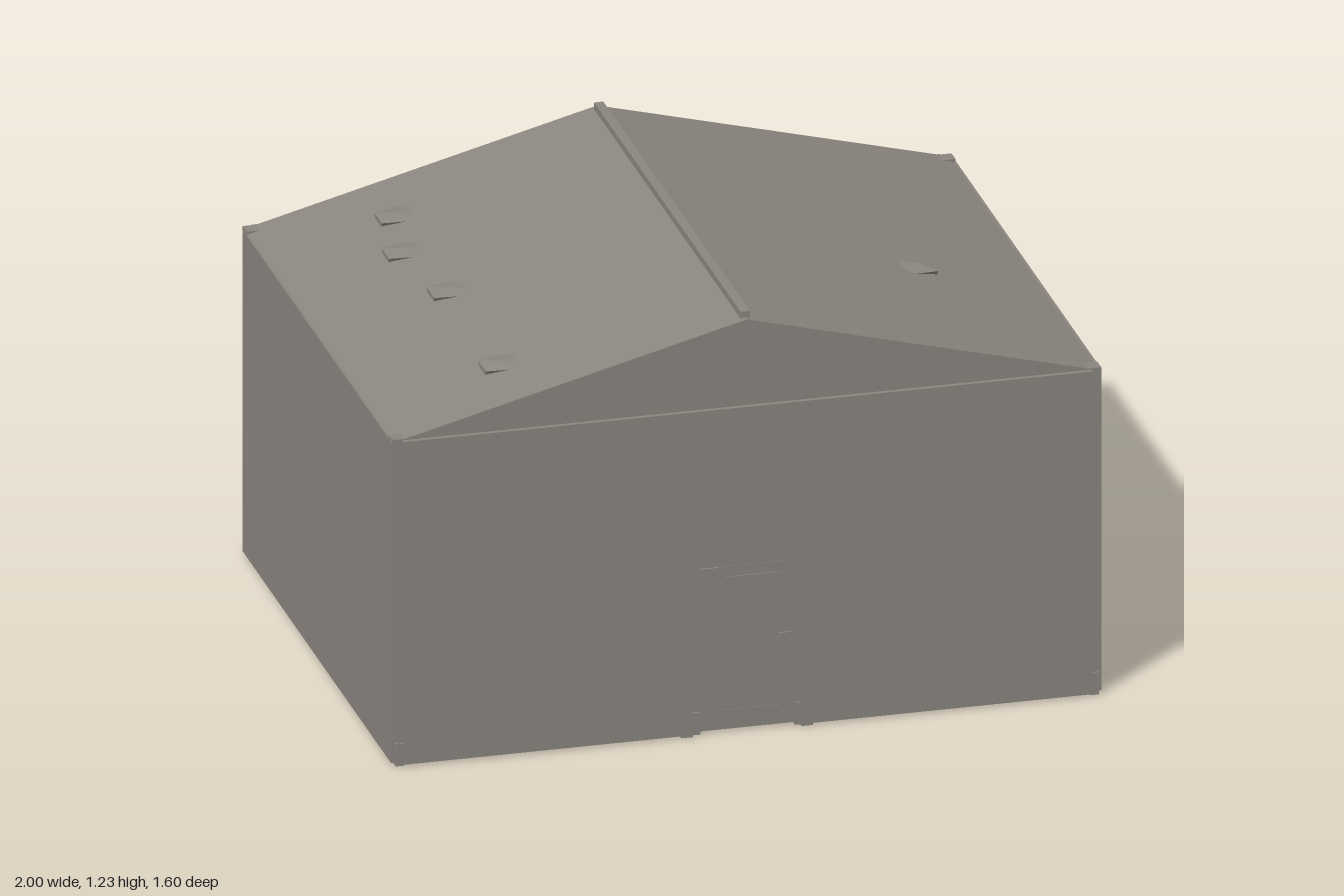
import * as THREE from 'three';
import { ConvexGeometry } from 'three/addons/geometries/ConvexGeometry.js';

export function createModel() {
  const group = new THREE.Group();
  const stone = new THREE.MeshStandardMaterial({ color: 0x8c8680, flatShading: true });
  stone.name = 'warm grey';

  const add = (name, geometry) => {
    const mesh = new THREE.Mesh(geometry, stone);
    mesh.name = name;
    group.add(mesh);
    return mesh;
  };
  // Box given by its lower and upper corners
  const box = (name, x0, x1, y0, y1, z0, z1) =>
    add(name, new THREE.BoxGeometry(x1 - x0, y1 - y0, z1 - z0)
      .translate((x0 + x1) / 2, (y0 + y1) / 2, (z0 + z1) / 2));
  // Outline in x and y, extruded from z0 to z1
  const slab = (name, points, z0, z1) => {
    const shape = new THREE.Shape(points.map(([x, y]) => new THREE.Vector2(x, y)));
    const geometry = new THREE.ExtrudeGeometry(shape, { depth: z1 - z0, bevelEnabled: false });
    return add(name, geometry.translate(0, 0, z0));
  };

  // Main block and end walls, leaving notched corners
  box('sideWalls', -1, 1, 0.006, 0.952, -0.78, 0.78);
  box('backWall', -0.97, 0.97, 0.006, 0.956, -0.8, -0.78);
  slab('frontWall', [
    [-0.97, 0.006], [-0.155, 0.006], [-0.155, 0.51], [0.15, 0.51],
    [0.15, 0.006], [0.97, 0.006], [0.97, 0.956], [-0.97, 0.956],
  ], 0.78, 0.8);

  // Corner posts, feet and eave blocks
  for (const sx of [-1, 1]) {
    for (const sz of [-1, 1]) {
      const corner = (name, x0, x1, y0, y1, z0, z1) => box(name,
        Math.min(sx * x0, sx * x1), Math.max(sx * x0, sx * x1), y0, y1,
        Math.min(sz * z0, sz * z1), Math.max(sz * z0, sz * z1));
      corner('cornerPost', 0.965, 0.984, 0.006, 0.955, 0.77, 0.787);
      corner('cornerFoot', 0.965, 0.99, 0, 0.065, 0.77, 0.792);
      corner('eaveBlock', 0.96, 0.998, 0.945, 0.96, 0.745, 0.787);
    }
  }

  // Gabled roof and ridge cap
  slab('roof', [[-1, 0.95], [1, 0.95], [0, 1.208]], -0.787, 0.787);
  box('ridgeCap', -0.013, 0.013, 1.19, 1.225, -0.77, 0.77);

  // Recessed door built from shallow layers
  box('doorPanel', -0.13, 0.135, 0.01, 0.485, 0.775, 0.782);
  box('leftDoorStrip', -0.13, -0.08, 0.01, 0.485, 0.78, 0.787);
  box('rightDoorStrip', 0.09, 0.135, 0.01, 0.275, 0.78, 0.787);
  box('doorWindow', -0.06, 0.1, 0.285, 0.455, 0.78, 0.785);
  box('lowerDoorPanel', -0.08, 0.09, 0.065, 0.285, 0.78, 0.784);
  box('doorKickPlate', -0.08, 0.09, 0.03, 0.065, 0.78, 0.786);

  // Small blocks at the foot of the doorway
  box('leftDoorFoot', -0.188, -0.155, 0, 0.01, 0.78, 0.8);
  box('rightDoorFoot', 0.15, 0.182, 0, 0.01, 0.78, 0.8);
  box('leftJambBase', -0.155, -0.13, 0, 0.065, 0.775, 0.787);
  box('rightJambBase', 0.135, 0.15, 0, 0.065, 0.775, 0.787);

  // Low roof vents: distance from the ridge, height over the slope, z
  const roofY = (x) => 1.208 - 0.258 * Math.abs(x);
  const ventPoints = [
    [0.05, 0.012, -0.04], [0.05, 0.012, 0.04], [0.05, -0.006, -0.03], [0.05, -0.006, 0.03],
    [0.01, 0.014, 0], [-0.015, 0, -0.055], [-0.015, 0, 0.055],
    [-0.05, -0.002, -0.025], [-0.05, -0.002, 0.025],
  ];
  for (const [x, z] of [[-0.63, -0.55], [-0.67, -0.325], [-0.63, 0], [-0.63, 0.54], [0.645, 0.16]]) {
    const side = Math.sign(x);
    add('roofVent', new ConvexGeometry(ventPoints.map(([out, lift, dz]) =>
      new THREE.Vector3(x + side * out, roofY(x + side * out) + lift, z + dz))));
  }

  return group;
}
